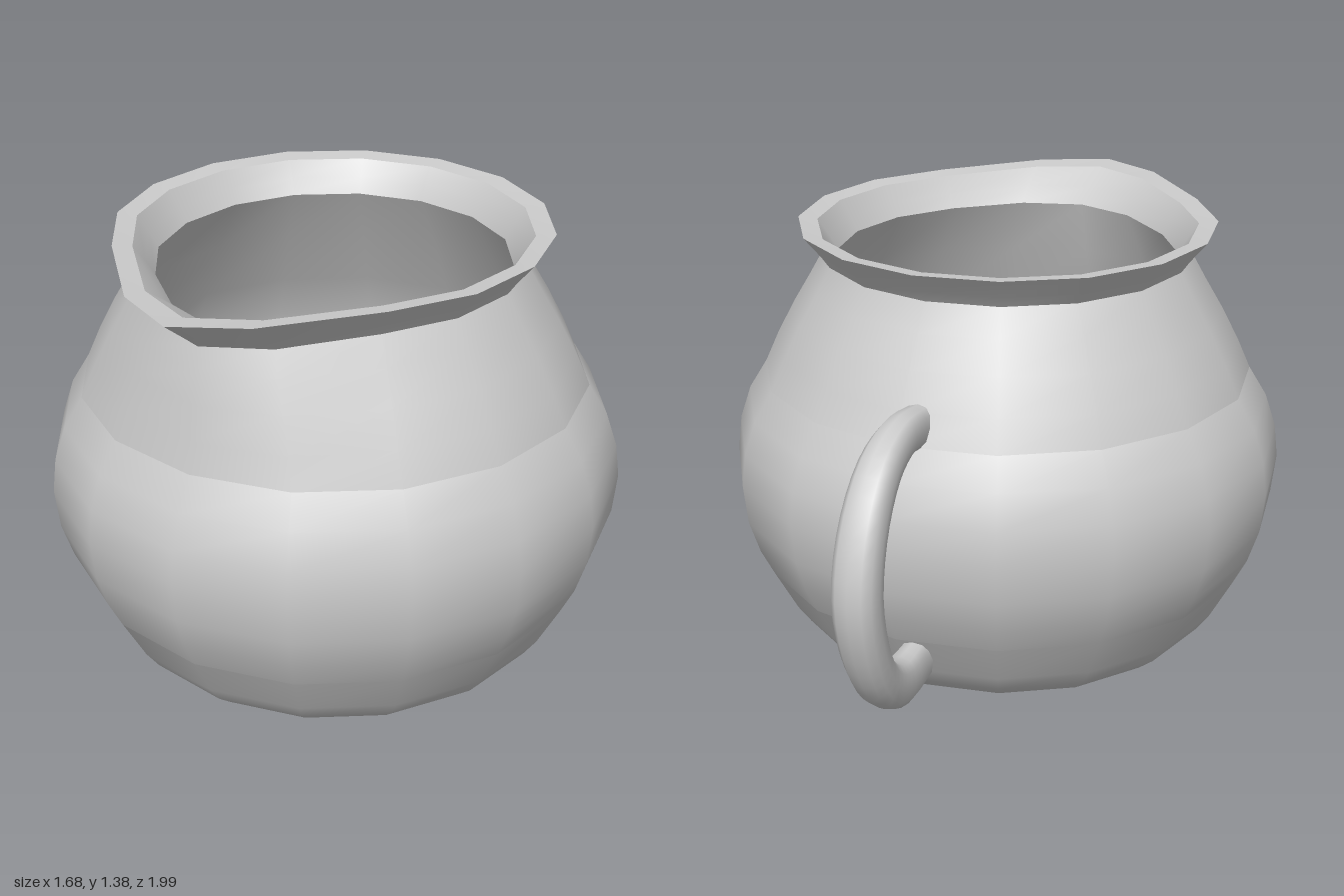
import * as THREE from 'three';

const SIDES = 16;
const CENTRE_Z = 0.155;
const material = new THREE.MeshStandardMaterial({ color: 0xcccccc });

// Skins a stack of closed rings (arrays of [x, y, z]) with smooth normals.
function skin(name, rings) {
  const n = rings[0].length;
  const index = [];
  for (let j = 0; j < rings.length - 1; j++) {
    for (let i = 0; i < n; i++) {
      const a = j * n + i, b = j * n + (i + 1) % n;
      index.push(a, b, b + n, a, b + n, a + n);
    }
  }
  const geometry = new THREE.BufferGeometry();
  geometry.setAttribute('position', new THREE.Float32BufferAttribute(rings.flat(2), 3));
  geometry.setIndex(index);
  geometry.computeVertexNormals();
  const mesh = new THREE.Mesh(geometry, material);
  mesh.name = name;
  return mesh;
}

// One horizontal ring of the jug; push draws its front out into the spout.
function jugRing([r, y, push = 0, dip = 0]) {
  const ring = [];
  for (let i = 0; i < SIDES; i++) {
    const a = (i / SIDES) * Math.PI * 2;
    const w = [1, 0.72, 0.06][Math.min(i, SIDES - i)] ?? 0;
    ring.push([
      r * Math.sin(a) * (1 - w * push * 1.3),
      y - dip * w,
      CENTRE_Z + r * Math.cos(a) + w * push,
    ]);
  }
  return ring;
}

// Each band is [radius, height, spout push, spout dip]; bands meet in creases.
const BANDS = {
  base: [[0, 0], [0.2, 0.006], [0.37, 0.03], [0.5, 0.075]],
  lowerBody: [[0.5, 0.075], [0.59, 0.11], [0.645, 0.155], [0.685, 0.21], [0.755, 0.34]],
  belly: [[0.755, 0.34], [0.795, 0.42], [0.827, 0.52], [0.84, 0.64], [0.828, 0.74],
    [0.795, 0.84], [0.74, 0.93]],
  shoulder: [[0.74, 0.93], [0.7, 1.02, 0.025], [0.648, 1.12, 0.06], [0.595, 1.21, 0.1],
    [0.55, 1.29, 0.125, 0.015]],
  rimFlare: [[0.55, 1.29, 0.125, 0.015], [0.575, 1.325, 0.15, 0.01], [0.625, 1.385, 0.19]],
  rimEdge: [[0.625, 1.385, 0.19], [0.568, 1.378, 0.165]],
  rimInside: [[0.568, 1.378, 0.165], [0.535, 1.33, 0.11], [0.51, 1.285, 0.075]],
  inside: [[0.51, 1.285, 0.075], [0.6, 1.12, 0.03], [0.69, 0.93], [0.76, 0.78], [0.78, 0.64],
    [0.76, 0.48], [0.7, 0.32], [0.62, 0.19], [0.48, 0.12], [0.25, 0.08], [0, 0.07]],
};

// Handle loop: a flattened oval section that widens towards the back.
function makeHandle() {
  const path = new THREE.CatmullRomCurve3([
    [0.98, -0.53], [0.99, -0.66], [0.945, -0.785], [0.82, -0.89], [0.64, -0.938],
    [0.45, -0.893], [0.325, -0.81], [0.265, -0.7], [0.265, -0.54],
  ].map(([y, z]) => new THREE.Vector3(0, y, z)));
  const steps = 28, around = 12;
  const rings = [];
  for (let j = 0; j <= steps; j++) {
    const u = j / steps;
    const p = path.getPoint(u), t = path.getTangent(u);
    const halfWidth = 0.043 + Math.max(0, -p.z - 0.53) * 0.06;
    const halfDepth = 0.06 + 0.012 * THREE.MathUtils.smoothstep(u, 0.65, 0.9);
    const ring = [];
    for (let i = 0; i < around; i++) {
      const a = (i / around) * Math.PI * 2;
      const c = Math.sign(Math.cos(a)) * Math.abs(Math.cos(a)) ** 0.8;
      const s = -Math.sign(Math.sin(a)) * Math.abs(Math.sin(a)) ** 0.8 * halfDepth;
      ring.push([halfWidth * (c - 1), p.y - t.z * s, p.z + t.y * s]);
    }
    rings.push(ring);
  }
  // Flat caps close both ends.
  const middle = (ring) => {
    const m = [0, 1, 2].map((k) => ring.reduce((sum, v) => sum + v[k], 0) / around);
    return ring.map(() => m);
  };
  const handle = new THREE.Group();
  handle.name = 'handle';
  handle.add(
    skin('handleLoop', rings),
    skin('handleTopEnd', [middle(rings[0]), rings[0]]),
    skin('handleBottomEnd', [rings[steps], middle(rings[steps])]),
  );
  return handle;
}

export function createModel() {
  const model = new THREE.Group();
  model.name = 'jug';
  for (const [name, profile] of Object.entries(BANDS)) {
    model.add(skin(name, profile.map(jugRing)));
  }
  model.add(makeHandle());
  return model;
}
